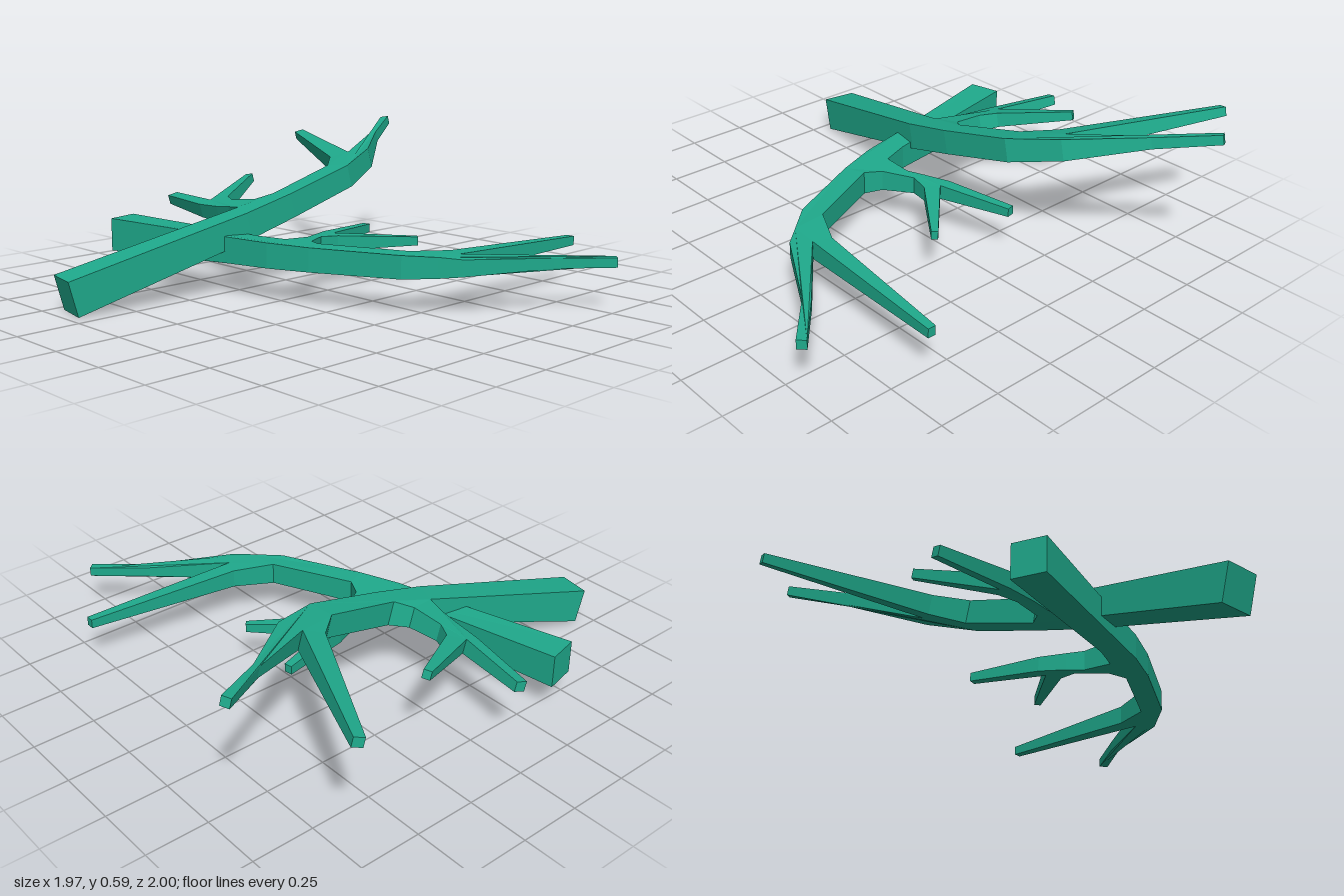
import * as THREE from 'three';

const material = new THREE.MeshStandardMaterial({ color: 0x1faa8c, flatShading: true });

// Outline points are [x, z, thickness], seen from above.
// Mid-plane: y = y0 + sx * x + sz * z; the slab thickens along the plane's normal.
function branch(name, outline, y0, sx = 0, sz = 0) {
  const shape = new THREE.Shape(outline.map(([x, z]) => new THREE.Vector2(x, -z)));
  const geometry = new THREE.ExtrudeGeometry(shape, { depth: 1, bevelEnabled: false });
  geometry.rotateX(-Math.PI / 2);

  const normal = new THREE.Vector3(-sx, 1, -sz);
  const stretch = normal.length();
  normal.normalize();

  const pos = geometry.attributes.position;
  const v = new THREE.Vector3();
  for (let i = 0; i < pos.count; i++) {
    v.fromBufferAttribute(pos, i);
    const isTop = v.y > 0.5;
    const [x, z, h] = outline.find(([px, pz]) => Math.hypot(px - v.x, pz - v.z) < 1e-4);
    v.set(x, y0 + sx * x + sz * z + stretch * h / 2, z);
    if (!isTop) v.addScaledVector(normal, -h);
    pos.setXYZ(i, v.x, v.y, v.z);
  }
  geometry.computeVertexNormals();
  const mesh = new THREE.Mesh(geometry, material);
  mesh.name = name;
  return mesh;
}

// Level branch lying across
const lowerOutline = [
  // thick end and outer side
  [-0.82, 0.355, 0.135], [-0.79, 0.485, 0.135], [-0.22, 0.35, 0.105], [-0.02, 0.305, 0.1],
  [0.15, 0.245, 0.095], [0.48, 0.09, 0.09], [0.58, 0, 0.08], [0.65, -0.06, 0.065],
  // forked end
  [0.825, -0.37, 0.04], [0.984, -0.55, 0.037], [0.958, -0.577, 0.037], [0.804, -0.397, 0.04],
  [0.587, -0.116, 0.075], [0.62, -0.788, 0.037], [0.587, -0.788, 0.037], [0.517, -0.143, 0.075],
  [0.444, 0.01, 0.09],
  // side twig
  [0.116, 0.164, 0.095], [0.048, 0.132, 0.085], [-0.021, 0.016, 0.07], [-0.005, -0.063, 0.06],
  [0.19, -0.323, 0.035], [0.169, -0.339, 0.035], [-0.063, -0.095, 0.06],
  [-0.148, -0.392, 0.035], [-0.18, -0.386, 0.035], [-0.116, -0.09, 0.06],
  [-0.07, 0.01, 0.07], [-0.035, 0.075, 0.08], [-0.035, 0.195, 0.095], [-0.15, 0.235, 0.1],
];

// Sloping branch resting on top of it
const upperOutline = [
  // thick end and side twig
  [-0.323, 0.993, 0.143], [-0.46, 0.968, 0.143], [-0.307, 0.206, 0.105], [-0.386, 0.19, 0.085],
  [-0.47, 0.185, 0.07], [-0.593, 0.175, 0.06], [-0.9, 0.11, 0.04], [-0.89, 0.069, 0.04],
  [-0.587, 0.122, 0.06], [-0.725, -0.19, 0.035], [-0.698, -0.206, 0.035], [-0.534, 0.07, 0.06],
  [-0.466, 0.106, 0.07], [-0.333, 0.095, 0.085], [-0.28, 0.037, 0.1],
  // forked end
  [-0.302, -0.29, 0.095], [-0.402, -0.402, 0.08], [-0.984, -0.725, 0.037], [-0.968, -0.762, 0.037],
  [-0.36, -0.471, 0.08], [-0.508, -0.767, 0.045], [-0.65, -0.981, 0.037], [-0.619, -0.998, 0.037],
  [-0.487, -0.778, 0.045], [-0.285, -0.519, 0.085], [-0.2, -0.307, 0.095],
  // outer side
  [-0.19, 0.026, 0.1], [-0.2, 0.25, 0.108],
];

export function createModel() {
  const group = new THREE.Group();
  group.name = 'crossedBranches';
  group.add(branch('lowerBranch', lowerOutline, 0.188));
  group.add(branch('upperBranch', upperOutline, 0.339, 0.037, -0.2586));
  return group;
}
